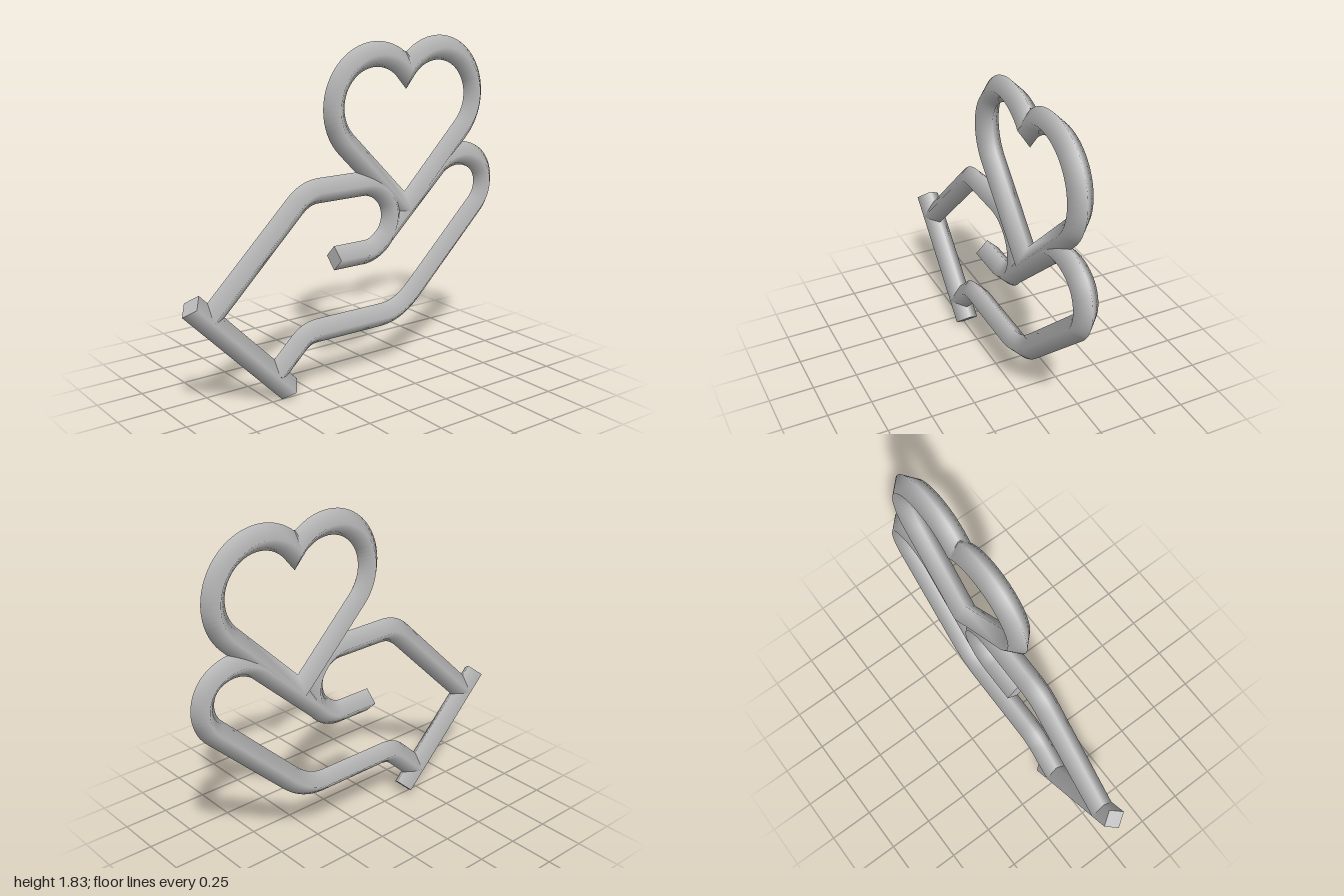
import * as THREE from 'three';

const R = 0.066;

// Sweeps a diamond section along a flat path, with mitred corners and flat end caps.
function diamondTube(path, closed = false) {
  const pts = [];
  for (const p of path.getPoints(16)) {
    if (!pts.length || p.distanceTo(pts[pts.length - 1]) > 0.006) pts.push(p);
  }
  if (closed && pts[0].distanceTo(pts[pts.length - 1]) < 0.006) pts.pop();
  const n = pts.length;
  const pos = [], nor = [], idx = [];
  const direction = (i) => pts[(i + 1) % n].clone().sub(pts[(i + n) % n]).normalize();
  const addRing = (p, side, scale, normal) => {
    for (const [s, z] of [[0, 1], [1, 0], [0, -1], [-1, 0]]) {
      pos.push(p.x + side.x * s * R * scale, p.y + side.y * s * R * scale, z * R);
      if (normal) nor.push(normal.x, normal.y, 0);
      else nor.push(side.x * s, side.y * s, z);
    }
  };
  pts.forEach((p, i) => {
    const out = !closed && i === n - 1 ? direction(i - 1) : direction(i);
    const inn = !closed && i === 0 ? out : direction((i - 1 + n) % n);
    const t = inn.clone().add(out).normalize();
    addRing(p, new THREE.Vector2(-t.y, t.x), 1 / Math.max(0.4, t.dot(out)));
  });
  for (let i = 0; i < (closed ? n : n - 1); i++) {
    for (let k = 0; k < 4; k++) {
      const a = i * 4 + k, b = i * 4 + (k + 1) % 4;
      const c = ((i + 1) % n) * 4 + k, d = ((i + 1) % n) * 4 + (k + 1) % 4;
      idx.push(a, c, b, b, c, d);
    }
  }
  if (!closed) {
    const t0 = direction(0), t1 = direction(n - 2);
    addRing(pts[0], new THREE.Vector2(-t0.y, t0.x), 1, t0.clone().negate());
    addRing(pts[n - 1], new THREE.Vector2(-t1.y, t1.x), 1, t1);
    const s = n * 4, e = s + 4;
    idx.push(s, s + 1, s + 2, s, s + 2, s + 3, e, e + 2, e + 1, e, e + 3, e + 2);
  }
  const g = new THREE.BufferGeometry();
  g.setAttribute('position', new THREE.Float32BufferAttribute(pos, 3));
  g.setAttribute('normal', new THREE.Float32BufferAttribute(nor, 3));
  g.setIndex(idx);
  return g;
}

export function createModel() {
  const group = new THREE.Group();
  group.name = 'handHoldingHeart';
  const grey = new THREE.MeshStandardMaterial({ color: 0xc0c0c0 });
  grey.name = 'light grey';
  const add = (name, path, closed) => {
    const mesh = new THREE.Mesh(diamondTube(path, closed), grey);
    mesh.name = name;
    group.add(mesh);
  };

  // Heart: two round lobes meeting at a notch, straight sides down to the tip
  const heart = new THREE.Path();
  heart.moveTo(0.361, 0.914);
  heart.absarc(0.575, 1.505, 0.265, -Math.PI / 4, Math.PI - 0.638, false);
  heart.absarc(0.16, 1.492, 0.265, 0.702, Math.PI * 1.25, false);
  heart.lineTo(0.361, 0.914);
  add('heart', heart, true);

  // Cuff: straight bar across the wrist
  const cuff = new THREE.Path();
  cuff.moveTo(-0.953, 0.615);
  cuff.lineTo(-0.395, 0.05);
  add('cuff', cuff);

  // Thumb: wrist to knuckle, then a half-round hook back into the palm
  const thumb = new THREE.Path();
  thumb.moveTo(-0.861, 0.524);
  thumb.lineTo(-0.35, 1.022);
  thumb.bezierCurveTo(-0.305, 1.065, -0.26, 1.086, -0.2, 1.086);
  thumb.lineTo(0.05, 1.086);
  thumb.absarc(0.08, 0.898, 0.188, Math.PI / 2, -Math.PI / 2, true);
  add('thumb', thumb);

  // Fingers and palm: inner stub, up the fingers, round the tip, back to the wrist
  const fingers = new THREE.Path();
  fingers.moveTo(-0.107, 0.711);
  fingers.lineTo(0.09, 0.711);
  fingers.bezierCurveTo(0.15, 0.711, 0.19, 0.745, 0.235, 0.79);
  fingers.lineTo(0.6, 1.13);
  fingers.bezierCurveTo(0.68, 1.19, 0.78, 1.19, 0.86, 1.14);
  fingers.bezierCurveTo(0.95, 1.08, 0.957, 0.945, 0.875, 0.865);
  fingers.lineTo(0.43, 0.435);
  fingers.bezierCurveTo(0.36, 0.37, 0.29, 0.335, 0.2, 0.335);
  fingers.lineTo(-0.21, 0.335);
  fingers.bezierCurveTo(-0.265, 0.335, -0.3, 0.32, -0.335, 0.288);
  fingers.lineTo(-0.478, 0.152);
  add('fingersAndPalm', fingers);

  return group;
}
